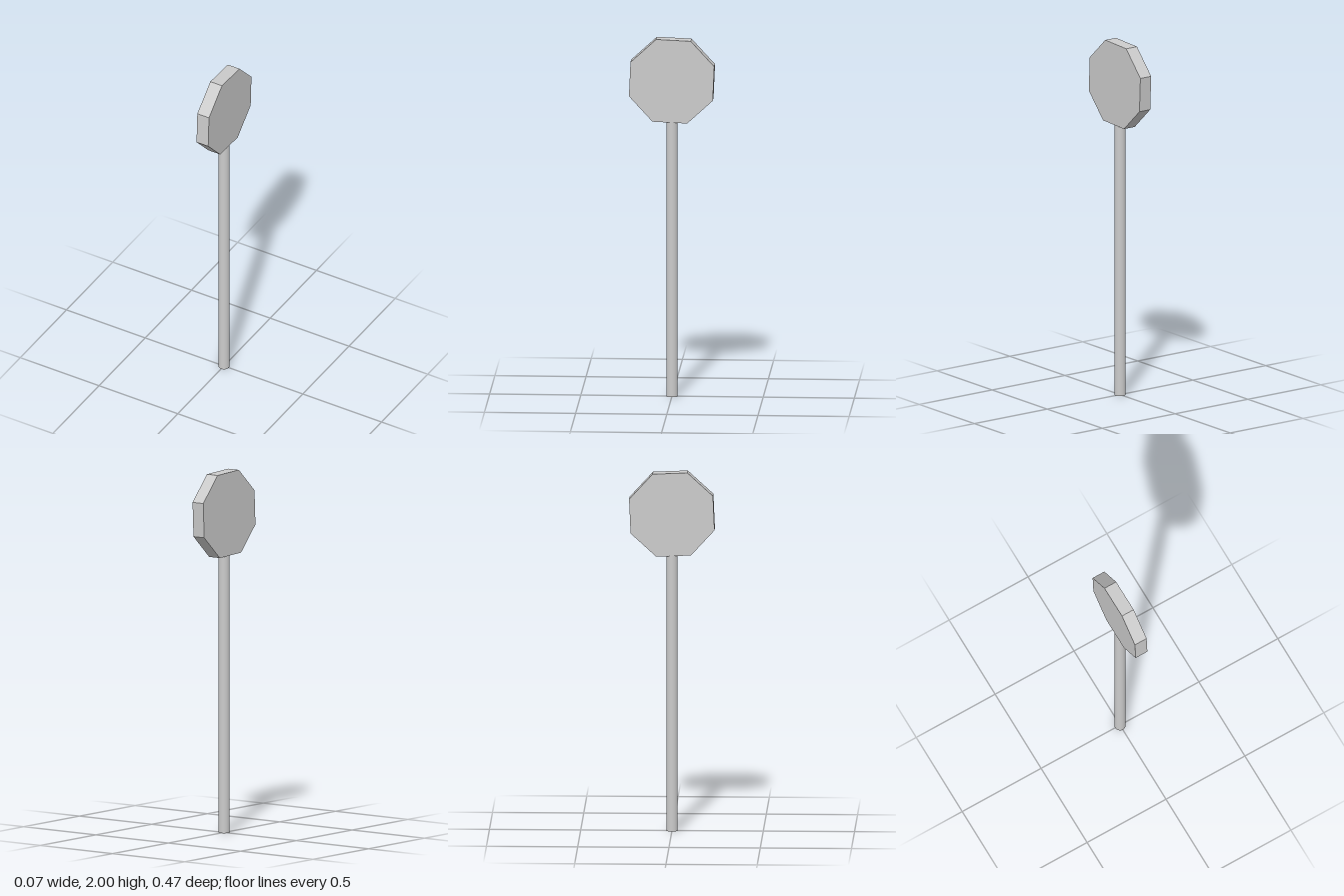
import * as THREE from 'three';

export function createModel() {
  const group = new THREE.Group();
  const material = new THREE.MeshStandardMaterial({ color: 0xcccccc });
  const add = (name, geometry, y, mat = material) => {
    const mesh = new THREE.Mesh(geometry, mat);
    mesh.name = name;
    mesh.position.y = y;
    group.add(mesh);
  };

  // Round pole, its top tucked just inside the sign
  const poleHeight = 1.56;
  add('pole', new THREE.CylinderGeometry(0.031, 0.031, poleHeight, 20), poleHeight / 2);

  // Thick octagonal sign facing sideways, turned slightly off level
  const radius = 0.249, thickness = 0.074, tilt = THREE.MathUtils.degToRad(25);
  const corners = [];
  for (let i = 0; i < 8; i++) {
    const a = tilt + i * Math.PI / 4;
    corners.push(new THREE.Vector2(-radius * Math.cos(a), radius * Math.sin(a)));
  }
  const octagon = new THREE.ExtrudeGeometry(new THREE.Shape(corners), { depth: thickness, bevelEnabled: false });
  octagon.translate(0, 0, -thickness / 2).rotateY(Math.PI / 2);
  const flat = material.clone();
  flat.flatShading = true;
  add('signPanel', octagon, 1.766, flat);

  return group;
}
